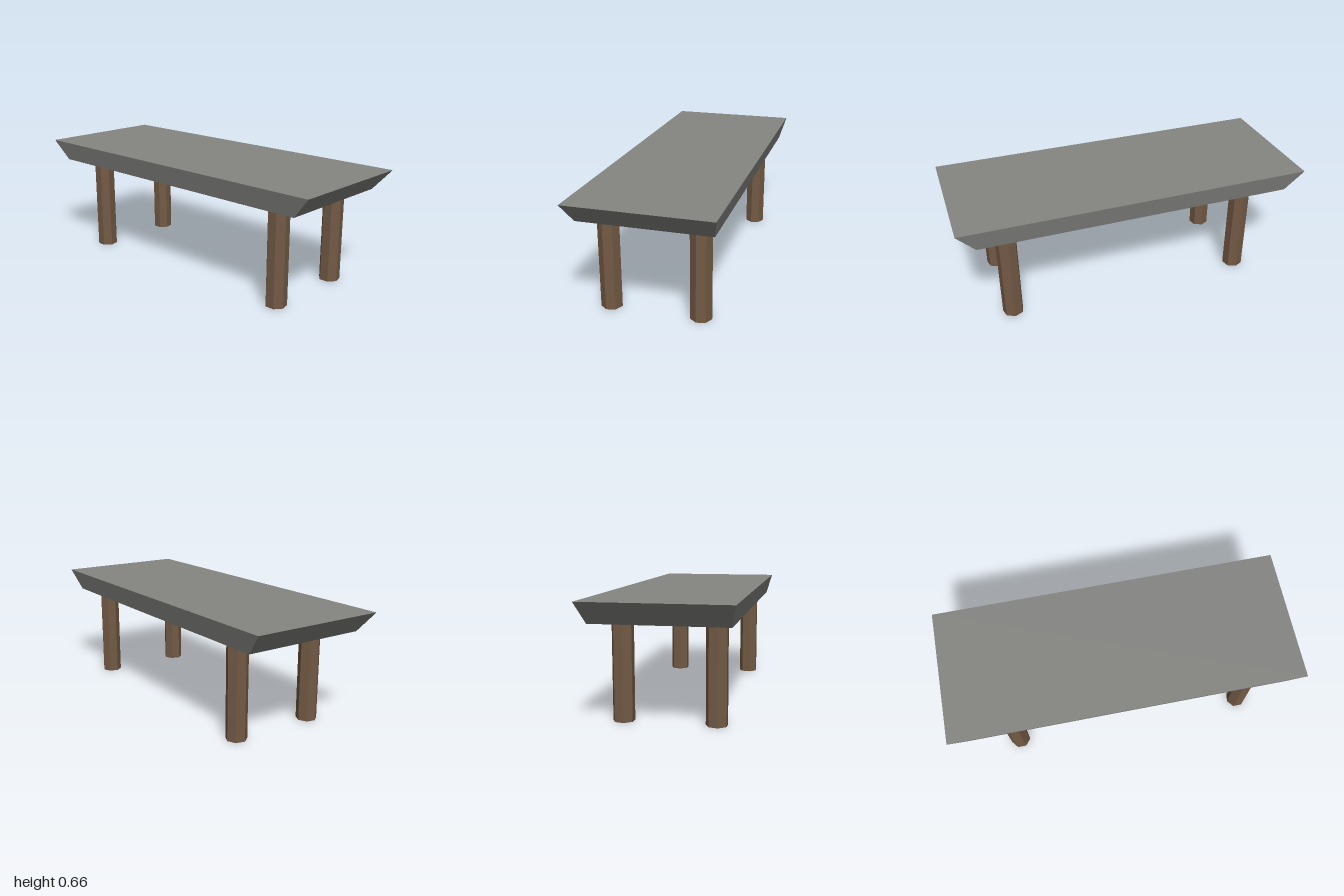
import * as THREE from 'three';

export function createModel() {
  const stone = new THREE.MeshStandardMaterial({ name: 'grey stone', color: 0x858582, flatShading: true });
  const wood = new THREE.MeshStandardMaterial({ name: 'brown wood', color: 0x735a45, flatShading: true });

  const table = new THREE.Group();
  table.name = 'table';

  const topY = 0.657, bottomY = 0.54;

  // Slab: a box whose underside is drawn inwards, giving sloping edges
  const slabGeometry = new THREE.BoxGeometry(0.772, topY - bottomY, 2);
  const position = slabGeometry.attributes.position;
  for (let i = 0; i < position.count; i++) {
    if (position.getY(i) < 0) {
      position.setX(i, Math.sign(position.getX(i)) * 0.356);
      position.setZ(i, Math.sign(position.getZ(i)) * 0.9);
    }
  }
  slabGeometry.computeVertexNormals();
  const slab = new THREE.Mesh(slabGeometry, stone);
  slab.name = 'tableTop';
  slab.position.y = (topY + bottomY) / 2;
  table.add(slab);

  // Legs: seven-sided posts with a corner towards +x and grey ends
  const legGeometry = new THREE.CylinderGeometry(0.059, 0.059, bottomY, 7, 1, false, Math.PI / 2);
  for (const [zName, z] of [['front', 0.73], ['back', -0.668]]) {
    for (const [xName, x] of [['Left', 0.244], ['Right', -0.25]]) {
      const leg = new THREE.Mesh(legGeometry, [wood, stone, stone]);
      leg.name = `${zName}${xName}Leg`;
      leg.position.set(x, bottomY / 2, z);
      table.add(leg);
    }
  }

  return table;
}
